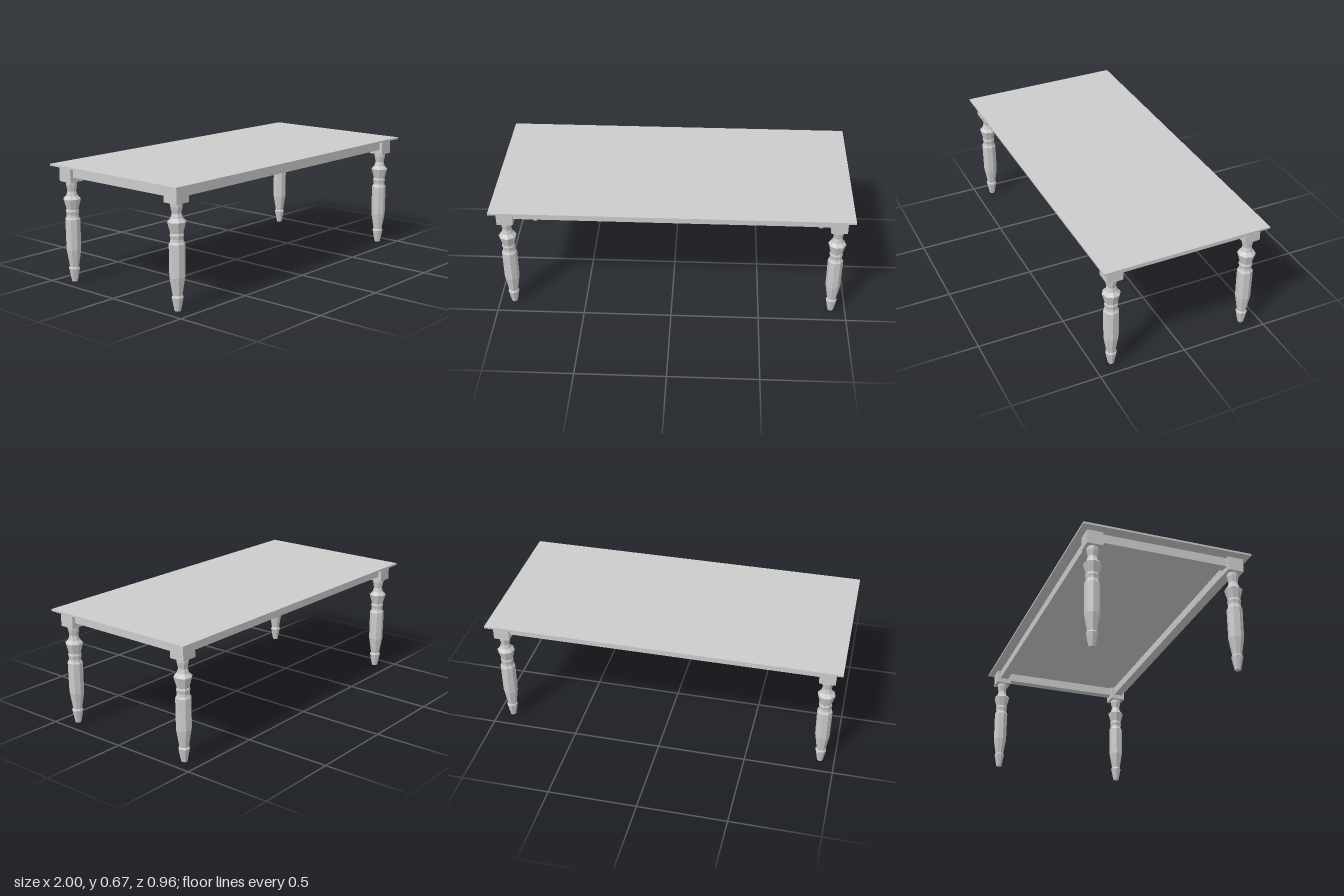
import * as THREE from 'three';

const LEG_X = 0.918, LEG_Z = 0.401;
const material = new THREE.MeshStandardMaterial({ color: 0xcccccc, flatShading: true });

function addBox(parent, name, size, position) {
  const mesh = new THREE.Mesh(new THREE.BoxGeometry(...size), material);
  mesh.name = name;
  mesh.position.set(...position);
  parent.add(mesh);
  return mesh;
}

// Eight-sided turned leg profile: [radius, height]
const LEG_PROFILE = [
  [0, 0], [0.017, 0], [0.032, 0.075], [0.026, 0.085], [0.042, 0.182],
  [0.043, 0.358], [0.036, 0.37], [0.034, 0.383], [0.038, 0.403], [0.034, 0.415],
  [0.05, 0.473], [0.032, 0.492], [0.03, 0.5], [0.025, 0.517], [0.032, 0.552], [0.032, 0.575],
].map(([r, y]) => new THREE.Vector2(r, y));

function createLeg(sx, sz) {
  const leg = new THREE.Group();
  leg.name = (sz > 0 ? 'front' : 'back') + (sx > 0 ? 'Left' : 'Right') + 'Leg';
  const turn = -sx * sz * THREE.MathUtils.degToRad(11);
  const post = new THREE.Mesh(new THREE.LatheGeometry(LEG_PROFILE, 8, turn), material);
  post.name = 'turnedPost';
  leg.add(post);
  addBox(leg, 'cornerBlock', [0.09, 0.079, 0.09], [0, 0.6115, 0]);
  leg.position.set(sx * LEG_X, 0, sz * LEG_Z);
  return leg;
}

export function createModel() {
  const table = new THREE.Group();
  table.name = 'diningTable';

  // Thin top with a shallow bevel underneath
  addBox(table, 'tableTop', [2, 0.011, 0.958], [0, 0.6645, 0]);
  const bevel = addBox(table, 'tableTopBevel', [2, 0.008, 0.958], [0, 0.655, 0]);
  const p = bevel.geometry.attributes.position;
  for (let i = 0; i < p.count; i++) {
    if (p.getY(i) > 0) continue;
    p.setX(i, Math.sign(p.getX(i)) * 0.965);
    p.setZ(i, Math.sign(p.getZ(i)) * 0.445);
  }
  bevel.geometry.computeVertexNormals();

  // Apron rails between the corner blocks
  for (const s of [1, -1]) {
    addBox(table, s > 0 ? 'frontRail' : 'backRail',
      [2 * LEG_X - 0.09, 0.051, 0.05], [0, 0.6255, s * LEG_Z]);
    addBox(table, s > 0 ? 'leftRail' : 'rightRail',
      [0.05, 0.051, 2 * LEG_Z - 0.09], [s * LEG_X, 0.6255, 0]);
    for (const t of [1, -1]) table.add(createLeg(s, t));
  }
  return table;
}
